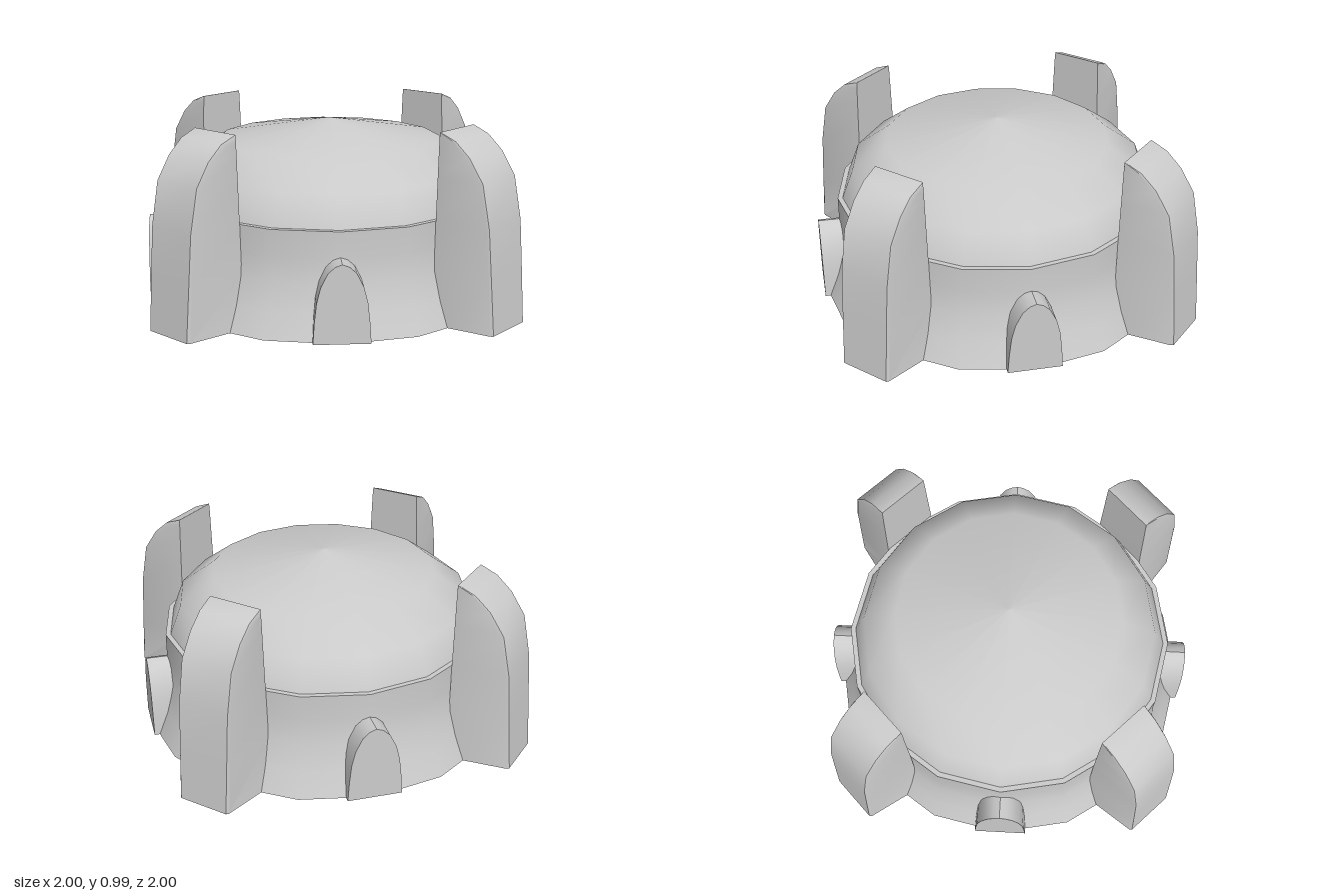
import * as THREE from 'three';
import { toCreasedNormals } from 'three/addons/utils/BufferGeometryUtils.js';

const SIDES = 16;

function lathe(points, material, name) {
  const profile = points.map(([r, y]) => new THREE.Vector2(r, y));
  const mesh = new THREE.Mesh(new THREE.LatheGeometry(profile, SIDES), material);
  mesh.name = name;
  return mesh;
}

// Curved buttress pointing along +z, stacked from hexagonal sections
function buttressGeometry() {
  // height, outer radius, inner radius, outer half width, inner half width
  const levels = [
    [0, 1.203, 0.955, 0.136, 0.19],
    [0.27, 1.182, 0.86, 0.139, 0.175],
    [0.54, 1.16, 0.855, 0.141, 0.162],
    [0.76, 1.115, 0.855, 0.142, 0.154],
    [0.877, 1.035, 0.855, 0.142, 0.15],
    [0.95, 0.95, 0.855, 0.143, 0.147],
    [0.985, 0.86, 0.855, 0.143, 0.144],
  ];
  const positions = [];
  const index = [];
  const n = 6;
  for (const [y, ro, ri, wo, wi] of levels) {
    const rb = Math.max(ri + 0.002, ro - 0.013);
    const wb = wo + (wi - wo) * 0.15 + 0.003;
    const ring = [[-wi, ri], [-wb, rb], [-wo, ro], [wo, ro], [wb, rb], [wi, ri]];
    for (const [x, z] of ring) positions.push(x, y, z);
  }
  const last = (levels.length - 1) * n;
  for (let k = 0; k < levels.length - 1; k++) {
    for (let i = 0; i < n; i++) {
      const a = k * n + i;
      const b = k * n + (i + 1) % n;
      index.push(a, b, b + n, a, b + n, a + n);
    }
  }
  for (let i = 1; i < n - 1; i++) {
    index.push(0, i + 1, i); // underside
    index.push(last, last + i, last + i + 1); // top
  }
  const geometry = new THREE.BufferGeometry();
  geometry.setAttribute('position', new THREE.Float32BufferAttribute(positions, 3));
  geometry.setIndex(index);
  return toCreasedNormals(geometry, 0.6);
}

// Arched doorway block facing +z
function doorGeometry() {
  const half = [[0.143, 0], [0.136, 0.11], [0.125, 0.21], [0.105, 0.29], [0.07, 0.36], [0.035, 0.392]];
  const outline = [
    ...half,
    [0, 0.405],
    ...half.map(([x, y]) => [-x, y]).reverse(),
  ];
  const shape = new THREE.Shape(outline.map(([x, y]) => new THREE.Vector2(x, y)));
  const geometry = new THREE.ExtrudeGeometry(shape, { depth: 0.15, bevelEnabled: false });
  geometry.translate(0, 0, 0.85);
  return toCreasedNormals(geometry, 0.7);
}

export function createModel() {
  const model = new THREE.Group();
  model.name = 'domedBuilding';
  const material = new THREE.MeshStandardMaterial({ color: 0xcccccc });
  const shell = new THREE.MeshStandardMaterial({ color: 0xcccccc, side: THREE.DoubleSide });

  // Flared open wall, flat rim and dome
  model.add(lathe([[1, 0], [0.945, 0.13], [0.9, 0.27], [0.886, 0.4], [0.885, 0.535]], shell, 'wall'));
  model.add(lathe([[0.885, 0.535], [0.858, 0.535]], shell, 'rim'));
  model.add(lathe([[0.858, 0.535], [0.795, 0.7], [0.61, 0.835], [0, 0.942]], shell, 'dome'));

  // Four doors on the axes, four buttresses on the diagonals
  const door = doorGeometry();
  const buttress = buttressGeometry();
  for (let i = 0; i < 4; i++) {
    const doorMesh = new THREE.Mesh(door, material);
    doorMesh.name = 'door' + (i + 1);
    doorMesh.rotation.y = i * Math.PI / 2;
    const buttressMesh = new THREE.Mesh(buttress, material);
    buttressMesh.name = 'buttress' + (i + 1);
    buttressMesh.rotation.y = (i + 0.5) * Math.PI / 2;
    model.add(doorMesh, buttressMesh);
  }
  return model;
}
